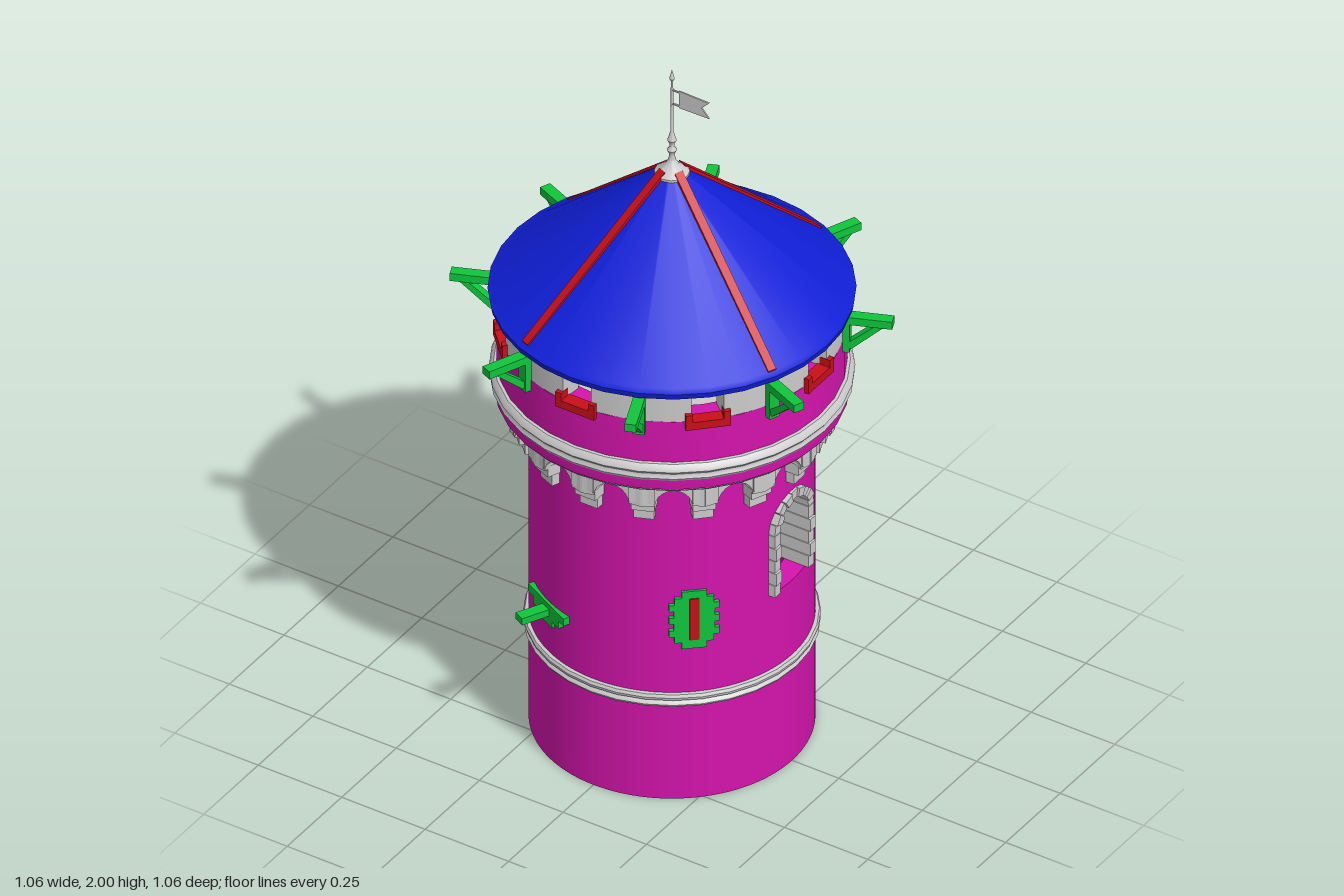
import * as THREE from 'three';
import { toCreasedNormals } from 'three/addons/utils/BufferGeometryUtils.js';

const RAD = Math.PI / 180;
const mat = (color) => new THREE.MeshStandardMaterial({ color });

export function createModel() {
  const tower = new THREE.Group();
  tower.name = 'tower';
  const grey = mat(0xcccccc), pink = mat(0xd414ac), blue = mat(0x0f1ed6);
  const green = mat(0x0fc63c), red = mat(0xc80f18);

  const add = (parent, name, geo, material) => {
    const mesh = new THREE.Mesh(geo, material);
    mesh.name = name;
    parent.add(mesh);
    return mesh;
  };
  // Group turned so that its local +z points outward at the given angle (0 = front, 90 = +x)
  const facing = (name, deg) => {
    const g = new THREE.Group();
    g.name = name;
    g.rotation.y = deg * RAD;
    tower.add(g);
    return g;
  };
  const box = (parent, name, material, [x0, x1], [y0, y1], [z0, z1]) => {
    const m = add(parent, name, new THREE.BoxGeometry(x1 - x0, y1 - y0, z1 - z0), material);
    m.position.set((x0 + x1) / 2, (y0 + y1) / 2, (z0 + z1) / 2);
    return m;
  };
  const lathe = (name, material, pts, segments = 32) => add(tower, name, toCreasedNormals(
    new THREE.LatheGeometry(pts.map(([r, y]) => new THREE.Vector2(r, y)), segments), 0.6), material);
  const prism = (parent, name, material, pts, z0, z1) => {
    const shape = new THREE.Shape(pts.map(([x, y]) => new THREE.Vector2(x, y)));
    const geo = new THREE.ExtrudeGeometry(shape, { depth: z1 - z0, bevelEnabled: false });
    return add(parent, name, geo.translate(0, 0, z0), material);
  };

  // Round wall, made of narrow columns that leave out the arched openings
  const openings = [
    { name: 'sideWindow', deg: 90, base: 0.56, spring: 0.75 },
    { name: 'backDoor', deg: 180, base: 0, spring: 0.19 },
    { name: 'backWindow', deg: 180, base: 0.56, spring: 0.75 },
  ];
  const R = 0.36, RI = 0.3, TOP = 1.02, HOLE = 0.0877, N = 128;
  const pos = [];
  const point = (t, r, y) => [Math.sin(t) * r, y, Math.cos(t) * r];
  const quad = (a, b, c, d) => pos.push(...a, ...b, ...c, ...a, ...c, ...d);
  for (let i = 0; i < N; i++) {
    const t0 = (i / N) * 2 * Math.PI, t1 = ((i + 1) / N) * 2 * Math.PI;
    const arch = (o, t) => {
      const u = R * Math.sin(t - o.deg * RAD);
      return o.spring + Math.sqrt(Math.max(0, HOLE * HOLE - u * u));
    };
    let low = [0, 0];
    const pieces = [];
    for (const o of openings) {
      if (Math.abs((t0 + t1) / 2 - o.deg * RAD) * R > HOLE) continue;
      if (o.base > 0) pieces.push([low, [o.base, o.base]]);
      low = [arch(o, t0), arch(o, t1)];
    }
    pieces.push([low, [TOP, TOP]]);
    for (const [[a0, a1], [b0, b1]] of pieces) {
      quad(point(t0, R, a0), point(t1, R, a1), point(t1, R, b1), point(t0, R, b0));
      quad(point(t1, RI, a1), point(t0, RI, a0), point(t0, RI, b0), point(t1, RI, b1));
      quad(point(t0, RI, a0), point(t1, RI, a1), point(t1, R, a1), point(t0, R, a0));
      quad(point(t0, R, b0), point(t1, R, b1), point(t1, RI, b1), point(t0, RI, b0));
    }
  }
  const wall = new THREE.BufferGeometry();
  wall.setAttribute('position', new THREE.Float32BufferAttribute(pos, 3));
  add(tower, 'wall', toCreasedNormals(wall, 0.6), pink);

  // Stone frames: jamb blocks and wedge stones lining each opening
  for (const o of openings) {
    const g = facing(o.name, o.deg);
    const rows = 5, h = (o.spring - o.base) / rows, wedges = 9;
    for (let k = 0; k < rows; k++) {
      const y = o.base + k * h, out = k % 2 ? 0.372 : 0.367;
      for (const s of [-1, 1]) {
        box(g, 'jambStone', grey, s > 0 ? [0.065, 0.09] : [-0.09, -0.065], [y + 0.001, y + h - 0.001], [0.28, out]);
      }
    }
    for (let k = 0; k < wedges; k++) {
      const a = (k + 0.03) / wedges * Math.PI, b = (k + 0.97) / wedges * Math.PI;
      const p = (t, r) => [Math.cos(t) * r, o.spring + Math.sin(t) * r];
      prism(g, 'archStone', grey, [p(a, 0.065), p(a, 0.09), p(b, 0.09), p(b, 0.065)], 0.28, k % 2 ? 0.372 : 0.367);
    }
  }

  // Belt course around the lower wall
  lathe('belt', grey, [[0.355, 0.288], [0.368, 0.29], [0.373, 0.298], [0.368, 0.306], [0.366, 0.308],
    [0.372, 0.312], [0.374, 0.32], [0.37, 0.328], [0.355, 0.33]]);

  // Corbels and the little arches between them
  for (let k = 0; k < 16; k++) {
    const corbel = facing('corbel', k * 22.5);
    [[0.88, 0.915, 0.382, 0.026], [0.915, 0.95, 0.398, 0.03], [0.95, 1.005, 0.413, 0.033]].forEach(([y0, y1, r, w]) =>
      box(corbel, 'corbelStone', grey, [-w, w], [y0, y1], [0.34, r]));
    const bay = facing('corbelArch', (k + 0.5) * 22.5);
    const w = 0.083, pts = [[w, 0.94], [w, 1.005], [-w, 1.005], [-w, 0.94]];
    for (let j = 0; j <= 10; j++) {
      const t = Math.PI * (1 - j / 10);
      pts.push([Math.cos(t) * 0.047, 0.942 + Math.sin(t) * 0.047]);
    }
    prism(bay, 'archPanel', grey, pts, 0.345, 0.408);
  }

  // Parapet drum with its mouldings
  lathe('lowerCornice', grey, [[0.36, 1.0], [0.41, 1.0], [0.435, 1.008], [0.443, 1.016], [0.44, 1.024], [0.4, 1.026]]);
  lathe('parapet', pink, [[0.37, 1.02], [0.446, 1.02], [0.45, 1.05], [0.45, 1.09], [0.44, 1.1],
    [0.44, 1.225], [0.37, 1.225], [0.37, 1.02]]);
  lathe('upperCornice', grey, [[0.44, 1.05], [0.452, 1.052], [0.458, 1.061], [0.453, 1.07], [0.453, 1.073],
    [0.46, 1.082], [0.456, 1.092], [0.448, 1.1], [0.43, 1.102]]);
  lathe('platform', grey, [[0, 1.02], [0.39, 1.02], [0.39, 1.05], [0, 1.05]]);

  // Merlons, crenel trims and roof brackets, one of each per eighth
  const half = 5.5 * RAD, mid = Math.PI / 8;
  const sector = new THREE.Shape();
  sector.absarc(0, 0, 0.438, Math.PI / 2 - mid + half, Math.PI / 2 + mid - half, false);
  sector.absarc(0, 0, 0.375, Math.PI / 2 + mid - half, Math.PI / 2 - mid + half, true);
  const merlonGeo = toCreasedNormals(new THREE.ExtrudeGeometry(sector, { depth: 0.075, bevelEnabled: false, curveSegments: 6 }), 0.6);
  merlonGeo.rotateX(Math.PI / 2).translate(0, 1.3, 0);
  for (let k = 0; k < 8; k++) {
    const bay = facing('merlonBay', 22.5 + k * 45);
    add(bay, 'merlon', merlonGeo, grey);
    // Bracket: post, beam and diagonal strut
    box(bay, 'bracketPost', green, [-0.015, 0.015], [1.193, 1.29], [0.43, 0.456]);
    box(bay, 'bracketBeam', green, [-0.015, 0.015], [1.279, 1.302], [0.38, 0.565]);
    const strut = prism(bay, 'bracketStrut', green,
      [[0.45, 1.205], [0.462, 1.205], [0.545, 1.282], [0.522, 1.282], [0.45, 1.22]], -0.012, 0.012);
    strut.rotation.y = -Math.PI / 2;

    const crenel = facing('crenelTrim', k * 45);
    box(crenel, 'trimSill', red, [-0.058, 0.058], [1.205, 1.228], [0.41, 0.447]);
    for (const s of [-1, 1]) {
      box(crenel, 'trimSide', red, s > 0 ? [0.04, 0.058] : [-0.058, -0.04], [1.205, 1.25], [0.41, 0.447]);
    }
  }

  // Conical roof with a rim and four ridge battens
  lathe('roof', blue, [[0, 1.665], [0.43, 1.31], [0.46, 1.31], [0.463, 1.326], [0.446, 1.332], [0.03, 1.69], [0, 1.7]]);
  for (let k = 0; k < 4; k++) {
    const g = facing('roofBatten', 67.5 + k * 90);
    const m = prism(g, 'batten', red, [[0.03, 1.68], [0.443, 1.322], [0.447, 1.336], [0.03, 1.7]], -0.012, 0.012);
    m.rotation.y = -Math.PI / 2;
  }

  // Finial with pole and swallow-tailed flag
  lathe('finial', grey, [[0.01, 1.675], [0.045, 1.68], [0.045, 1.687], [0.02, 1.705], [0.009, 1.722], [0.007, 1.74],
    [0.013, 1.752], [0.006, 1.763], [0.006, 1.77], [0.012, 1.782], [0.008, 1.795], [0.004, 1.81],
    [0.003, 1.965], [0.007, 1.972], [0, 2]], 12);
  prism(tower, 'flag', grey, [[0.022, 1.89], [0.112, 1.892], [0.09, 1.917], [0.112, 1.94], [0.022, 1.942]], -0.002, 0.002);
  for (const y of [1.895, 1.937]) box(tower, 'flagTie', grey, [0, 0.024], [y - 0.002, y + 0.002], [-0.002, 0.002]);

  // Arrow slit with a ragged stone surround
  const slit = facing('arrowSlit', 42);
  [0.032, 0.05, 0.064, 0.052, 0.064, 0.052, 0.064, 0.05, 0.032].forEach((w, k) =>
    box(slit, 'slitStone', green, [-w, w], [0.468 + k * 0.0196, 0.468 + (k + 1) * 0.0196], [0.335, 0.366]));
  box(slit, 'slitOpening', red, [-0.012, 0.012], [0.495, 0.622], [0.35, 0.369]);

  // Stepped ledge with a short spout
  const ledge = facing('spoutLedge', -26.5);
  [[0.088, 0.463, 0.485], [0.064, 0.44, 0.463], [0.03, 0.42, 0.44]].forEach(([w, y0, y1]) =>
    box(ledge, 'ledgeStone', green, [-w, w], [y0, y1], [0.335, 0.367]));
  box(ledge, 'spout', green, [-0.016, 0.016], [0.449, 0.469], [0.35, 0.445]);

  return tower;
}
